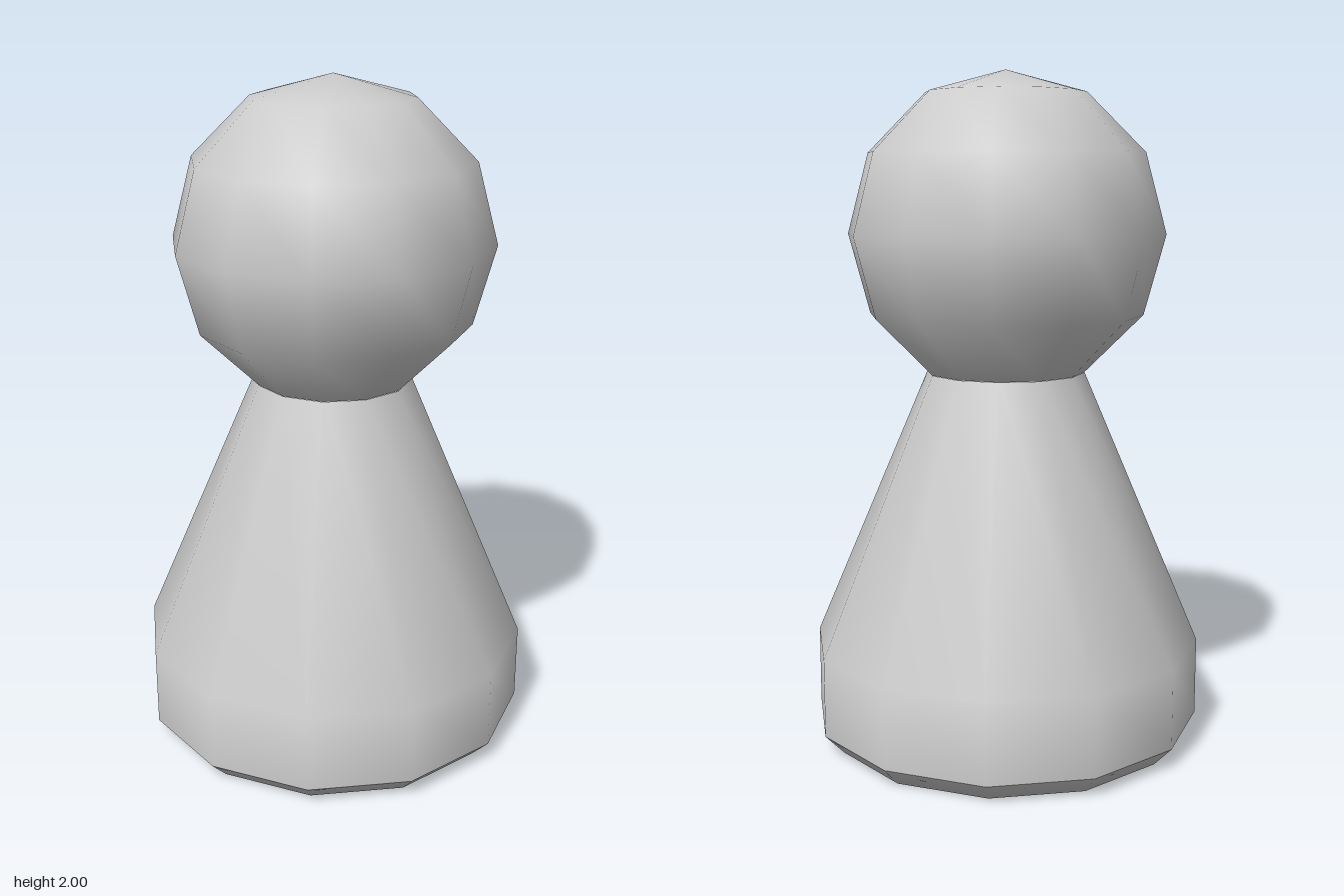
import * as THREE from 'three';

const SIDES = 12;

export function createModel() {
  const group = new THREE.Group();
  const material = new THREE.MeshStandardMaterial({ color: 0xcccccc });

  const add = (name, geometry, y = 0) => {
    const mesh = new THREE.Mesh(geometry, material);
    mesh.name = name;
    mesh.position.y = y;
    group.add(mesh);
  };
  const lathe = (...profile) =>
    new THREE.LatheGeometry(profile.map(([r, y]) => new THREE.Vector2(r, y)), SIDES);

  // Underside with its chamfered rim
  add('base', lathe([0, 0], [0.53, 0], [0.587, 0.06]));

  // Straight skirt tapering up to the neck
  add('body', lathe([0.587, 0.06], [0.587, 0.295], [0.237, 1.117]));

  // Ball head, open where it meets the neck
  add('head', new THREE.SphereGeometry(0.473, SIDES, 5, 0, Math.PI * 2, 0, Math.PI * 5 / 6), 1.527);

  return group;
}
